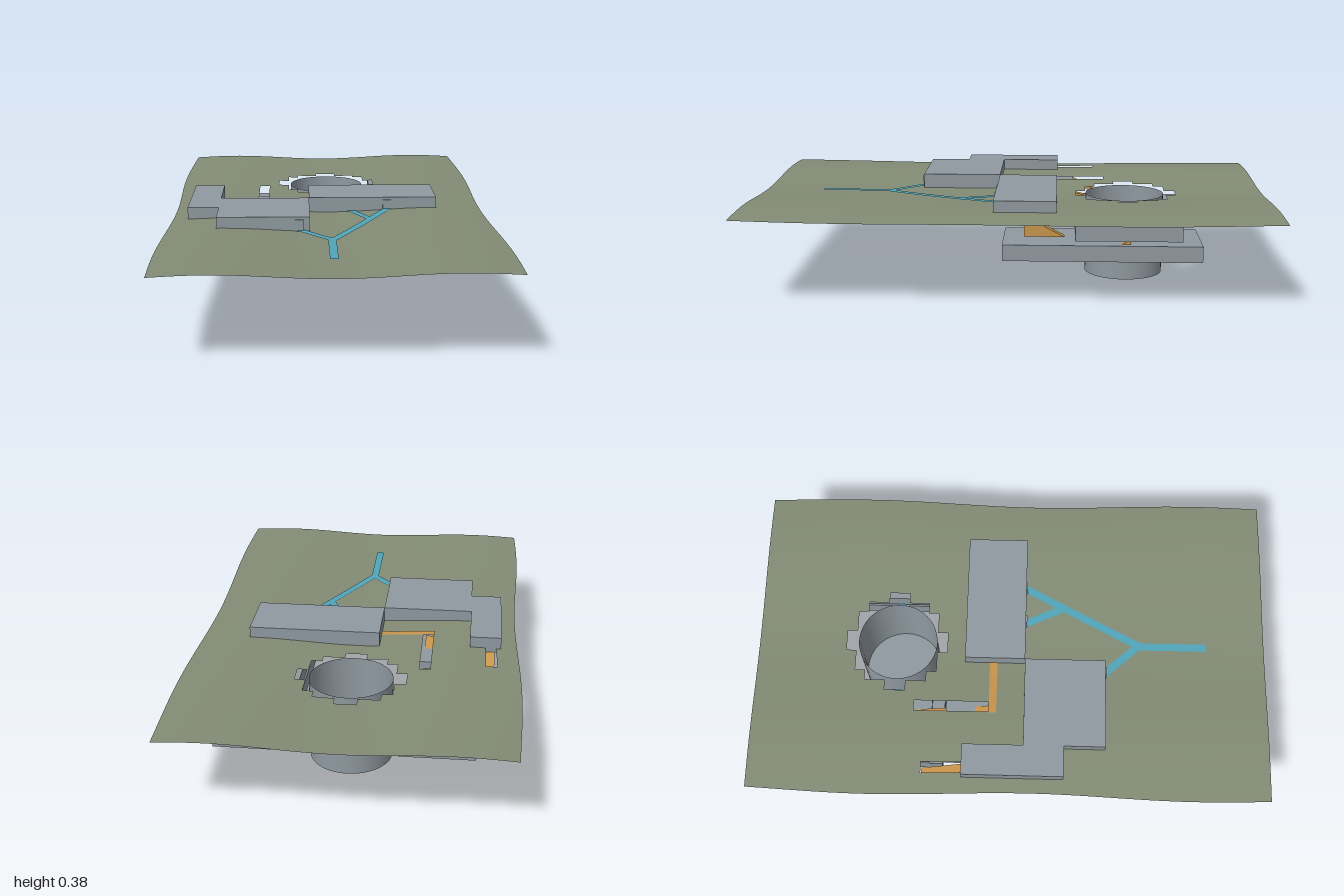
import * as THREE from 'three';

const mat = (name, color, side = THREE.FrontSide) => {
  const m = new THREE.MeshStandardMaterial({ color, side });
  m.name = name;
  return m;
};

// gently rolling ground
const groundY = (x, z) => 0.324 + 0.008 * Math.cos(7.5 * (Math.abs(x) - 0.42)) + 0.01 * z * z;

export function createModel() {
  const root = new THREE.Group();
  const concrete = mat('concrete', 0x8f99a0);
  const shell = mat('concreteShell', 0x8f99a0, THREE.DoubleSide);
  const earth = mat('earth', 0x838c75, THREE.DoubleSide);
  const blue = mat('pathBlue', 0x50a5ba, THREE.DoubleSide);
  const orange = mat('rampOrange', 0xc9944c, THREE.DoubleSide);

  const add = (name, geo, material) => {
    const m = new THREE.Mesh(geo, material);
    m.name = name;
    root.add(m);
    return m;
  };
  // box from its limits on each axis
  const box = (name, x0, x1, y0, y1, z0, z1, material = concrete) =>
    add(name, new THREE.BoxGeometry(x1 - x0, y1 - y0, z1 - z0), material)
      .position.set((x0 + x1) / 2, (y0 + y1) / 2, (z0 + z1) / 2);
  const indexed = (pos, idx) => {
    const g = new THREE.BufferGeometry();
    g.setAttribute('position', new THREE.Float32BufferAttribute(pos, 3));
    g.setIndex(idx);
    g.computeVertexNormals();
    return g;
  };

  // ground sheet on a grid, with stepped shaft hole and ramp slots left open
  const NX = 30, NZ = 51, pos = [], idx = [];
  const gx = i => (i - NX / 2) * 0.041;
  const gz = k => THREE.MathUtils.clamp(-1.015 + 0.04 * k, -1, 1);
  const isOpen = (x, z) =>
    Math.hypot(x * 0.976, z + 0.455) < 0.185 ||
    (x > -0.535 && x < -0.49 && z > -0.335 && z < -0.175) ||
    (x > -0.29 && x < -0.245 && z > -0.375 && z < -0.055);
  for (let k = 0; k <= NZ; k++) {
    for (let i = 0; i <= NX; i++) {
      const z = gz(k), x = gx(i);
      const wobble = 0.009 * Math.cos(4.95 * (z + 0.55)) * (x / 0.615) ** 3;
      pos.push(x + wobble, groundY(x, z), z);
      if (k === NZ || i === NX) continue;
      if (isOpen((x + gx(i + 1)) / 2, (z + gz(k + 1)) / 2)) continue;
      const a = k * (NX + 1) + i, b = a + NX + 1;
      idx.push(a, b, a + 1, b, b + 1, a + 1);
    }
  }
  add('ground', indexed(pos, idx), earth);

  // open round shaft with a floor
  add('shaftWall', new THREE.CylinderGeometry(0.156, 0.156, 0.32, 48, 1, true), shell)
    .position.set(0, 0.16, -0.452);
  const floor = add('shaftFloor', new THREE.CircleGeometry(0.156, 48), shell);
  floor.rotation.x = -Math.PI / 2;
  floor.position.set(0, 0.001, -0.452);

  // surface buildings
  const plan = [[-0.55, -0.18], [-0.43, -0.18], [-0.43, 0.055], [-0.08, 0.055],
    [-0.08, 0.37], [-0.43, 0.37], [-0.43, 0.21], [-0.55, 0.21]];
  const planShape = new THREE.Shape(plan.map(([x, z]) => new THREE.Vector2(x, -z)));
  const wing = new THREE.ExtrudeGeometry(planShape, { depth: 0.061, bevelEnabled: false });
  wing.rotateX(-Math.PI / 2).translate(0, 0.314, 0);
  add('surfaceWing', wing, concrete);
  box('surfaceHall', -0.08, 0.43, 0.314, 0.375, -0.18, 0.055);

  // doors at the ends of the paths
  for (const [x, z] of [[-0.12, 0.37], [0.09, 0.055], [0.232, 0.055]])
    box('door', x - 0.016, x + 0.016, 0.314, 0.365, z, z + 0.005);

  // underground rooms on two levels
  box('upperRoomLeft', 0.195, 0.47, 0.235, 0.295, -0.645, -0.25);
  box('lowerRoomLeft', 0.195, 0.47, 0.157, 0.218, -0.72, 0.02);
  box('upperRoomRight', -0.47, -0.195, 0.235, 0.295, -0.25, 0.02);
  box('lowerRoomRight', -0.47, -0.195, 0.157, 0.218, -0.72, -0.26);
  box('lowerRoomRoof', -0.47, -0.195, 0.218, 0.235, -0.59, -0.31);

  // thin walkways from the shaft to each level
  for (const s of [-1, 1])
    for (const y of [0.157, 0.235])
      box('shaftWalkway', s * 0.187 - 0.014, s * 0.187 + 0.014, y - 0.001, y + 0.001, -0.47, -0.437, blue);

  // wedge ramps, tall at zHigh and running out at zLow
  const ramp = (x, width, zHigh, zLow, y0, y1) => {
    const s = new THREE.Shape([[zHigh, y0], [zLow, y0], [zHigh, y1]].map(p => new THREE.Vector2(...p)));
    const g = new THREE.ExtrudeGeometry(s, { depth: width, bevelEnabled: false });
    g.rotateY(-Math.PI / 2).translate(x + width / 2, 0, 0);
    add('ramp', g, orange);
  };
  ramp(0.39, 0.033, -0.06, -0.21, 0.235, 0.314);
  ramp(-0.51, 0.033, -0.18, -0.34, 0.235, 0.314);
  ramp(-0.272, 0.033, -0.06, -0.375, 0.235, 0.314);
  ramp(0.43, 0.03, -0.455, -0.305, 0.157, 0.235);

  // flat strips draped over the ground
  const strip = (name, a, b, width, material) => {
    const p = [], f = [], n = 10;
    const dx = b[0] - a[0], dz = b[1] - a[1], h = width / 2 / Math.hypot(dx, dz);
    for (let i = 0; i <= n; i++) {
      const x = a[0] + dx * i / n, z = a[1] + dz * i / n;
      for (const s of [-1, 1]) p.push(x - s * dz * h, groundY(x, z) + 0.004, z + s * dx * h);
      if (i < n) f.push(2 * i, 2 * i + 1, 2 * i + 2, 2 * i + 1, 2 * i + 3, 2 * i + 2);
    }
    // keep the lit face upward
    add(name, indexed(p, f), material);
  };
  strip('path', [0, 0.5], [0, 0.77], 0.03, blue);
  strip('path', [0, 0.5], [-0.12, 0.365], 0.03, blue);
  strip('path', [0, 0.51], [0.235, 0.055], 0.03, blue);
  strip('path', [0.158, 0.21], [0.088, 0.055], 0.03, blue);
  strip('rampPath', [-0.08, -0.068], [-0.29, -0.068], 0.03, orange);

  return root;
}
